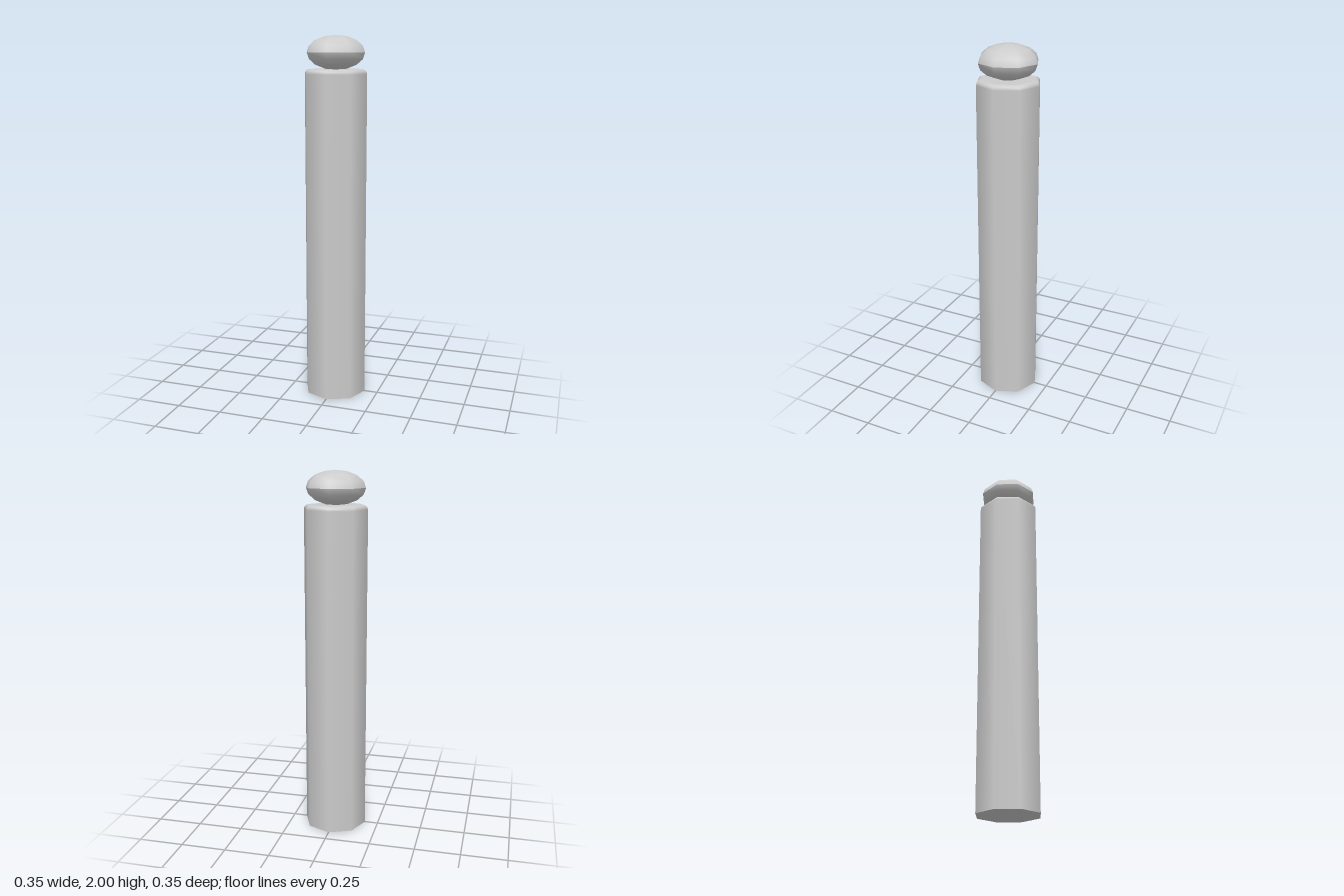
import * as THREE from 'three';

const SIDES = 8;

// Eight-sided turned part from [radius, height] pairs, listed bottom to top
function turned(name, profile, material) {
  const points = profile.map(([r, y]) => new THREE.Vector2(r, y));
  const mesh = new THREE.Mesh(new THREE.LatheGeometry(points, SIDES), material);
  mesh.name = name;
  return mesh;
}

// Quarter ellipse between the angles a and b (measured from the equator)
function arc(a, b, steps, radius, height, centreY) {
  return Array.from({ length: steps + 1 }, (_, i) => {
    const t = a + ((b - a) * i) / steps;
    return [Math.max(0, radius * Math.cos(t)), centreY + height * Math.sin(t)];
  });
}

export function createModel() {
  const model = new THREE.Group();
  model.name = 'bollard';

  const grey = new THREE.MeshStandardMaterial({ color: 0xcccccc });
  grey.name = 'light grey';

  // Post: flat base, straight shaft with rounded shoulder, flat top
  const post = new THREE.Group();
  post.name = 'post';
  post.add(
    turned('base', [[0, 0], [0.175, 0]], grey),
    turned('shaft', [[0.175, 0], [0.175, 1.797], [0.171, 1.81], [0.163, 1.818], [0.15, 1.822]], grey),
    turned('postTop', [[0.15, 1.822], [0, 1.822]], grey)
  );

  // Flattened knob: two halves meeting in a sharp edge at the equator
  const knob = new THREE.Group();
  knob.name = 'knob';
  knob.add(
    turned('knobLower', arc(-Math.PI / 2, 0, 4, 0.163, 0.091, 1.909), grey),
    turned('knobUpper', arc(0, Math.PI / 2, 4, 0.163, 0.091, 1.909), grey)
  );

  model.add(post, knob);
  return model;
}
